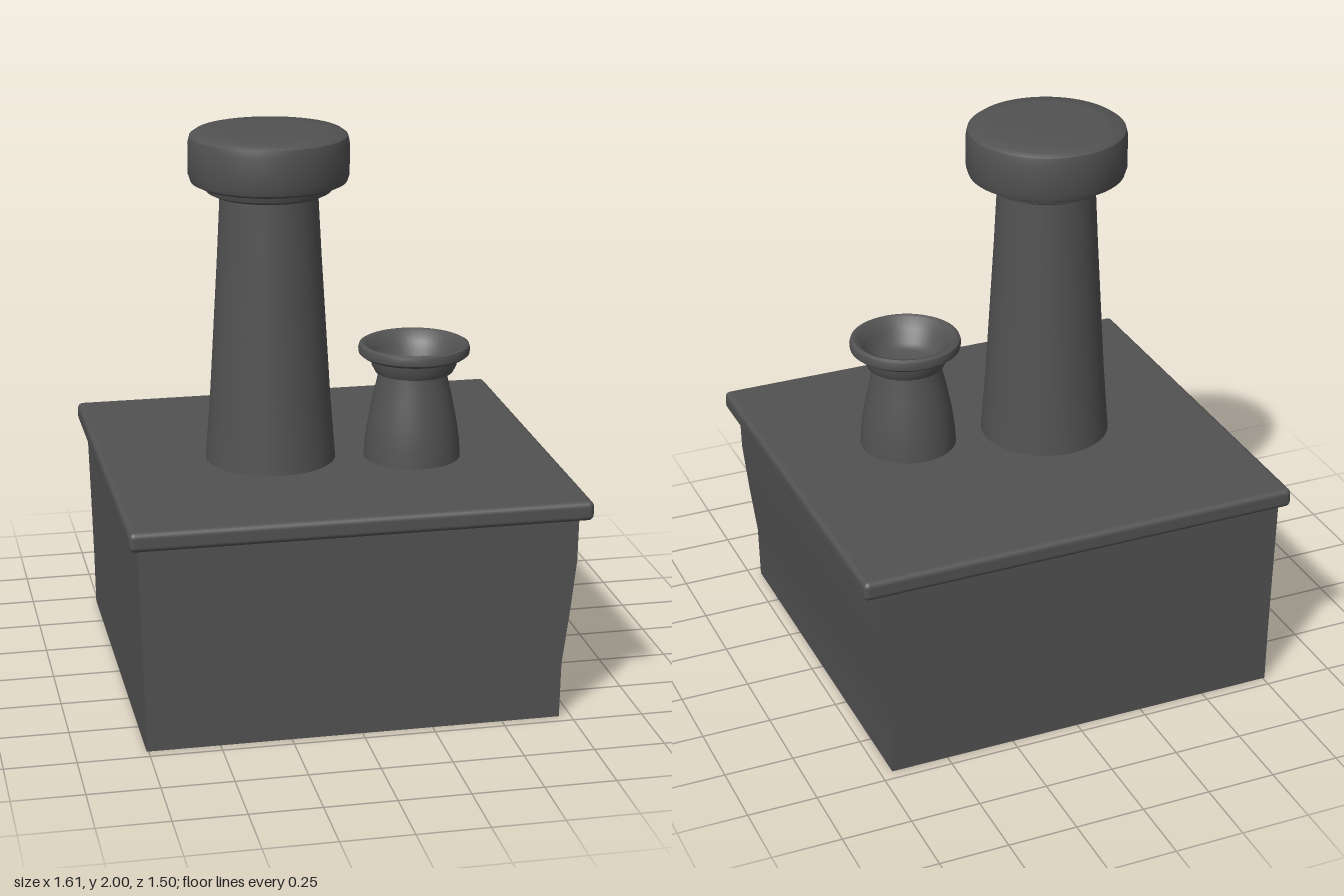
import * as THREE from 'three';
import { RoundedBoxGeometry } from 'three/addons/geometries/RoundedBoxGeometry.js';
import { toCreasedNormals } from 'three/addons/utils/BufferGeometryUtils.js';

export function createModel() {
  const group = new THREE.Group();
  const stone = new THREE.MeshStandardMaterial({ color: 0x525252 });
  stone.name = 'dark grey stone';

  const add = (name, geometry, x = 0, y = 0, z = 0) => {
    const mesh = new THREE.Mesh(geometry, stone);
    mesh.name = name;
    mesh.position.set(x, y, z);
    group.add(mesh);
  };
  const lathe = (profile) => toCreasedNormals(
    new THREE.LatheGeometry(profile.map(([r, y]) => new THREE.Vector2(r, y)), 48), 0.7);

  // Block: a box whose left and right walls follow a slightly uneven outline
  const levels = [0, 0.2, 0.4, 0.58, 0.76];
  const left = [-0.757, -0.76, -0.765, -0.77, -0.775];
  const right = [0.708, 0.712, 0.738, 0.758, 0.762];
  const block = new THREE.BoxGeometry(2, 4, 2, 1, 4, 1);
  const p = block.attributes.position;
  for (let i = 0; i < p.count; i++) {
    const k = Math.round(p.getY(i) + 2);
    p.setXYZ(i, p.getX(i) < 0 ? left[k] : right[k], levels[k], p.getZ(i) * 0.71);
  }
  add('block', toCreasedNormals(block, 0.6));

  // Overhanging slab with soft edges
  add('slab', new RoundedBoxGeometry(1.61, 0.07, 1.5, 3, 0.02), 0, 0.773, 0);

  // Tall chimney, tapering up into a heavy rounded cap
  add('chimneyShaft', lathe([
    [0.235, 0.79], [0.228, 0.88], [0.215, 1.05], [0.2, 1.3], [0.185, 1.55], [0.172, 1.8],
  ]), -0.195, 0, 0.03);
  add('chimneyCap', lathe([
    [0, 1.78], [0.2, 1.78], [0.22, 1.79], [0.228, 1.815], [0.255, 1.815], [0.275, 1.825],
    [0.283, 1.85], [0.283, 1.96], [0.277, 1.985], [0.26, 1.997], [0.2, 2], [0, 2],
  ]), -0.195, 0, 0.03);

  // Short flared pot with an open bowl on top
  add('potBody', lathe([
    [0.175, 0.79], [0.17, 0.87], [0.16, 0.94], [0.142, 1.03], [0.128, 1.09], [0.12, 1.14],
  ]), 0.307, 0, 0.12);
  add('potRim', lathe([
    [0, 1.12], [0.11, 1.12], [0.14, 1.127], [0.152, 1.15], [0.155, 1.18], [0.185, 1.185],
    [0.198, 1.195], [0.2, 1.21], [0.196, 1.225], [0.185, 1.231], [0.17, 1.226],
    [0.145, 1.19], [0.115, 1.145], [0.09, 1.132], [0, 1.13],
  ]), 0.312, 0, 0.12);

  return group;
}
